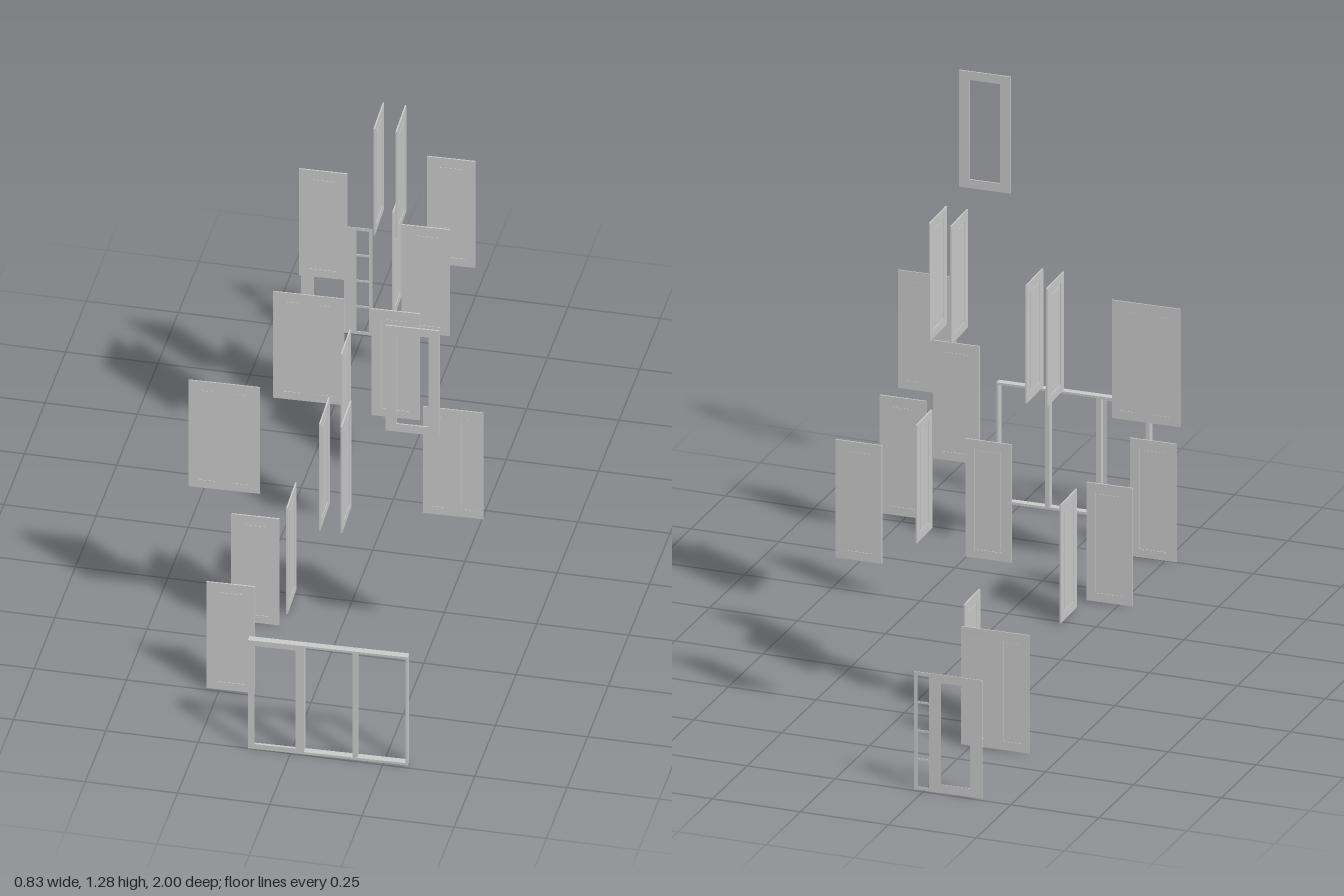
import * as THREE from 'three';

const TURN = 0.026;   // slight common turn of every piece
const H = 0.337;      // door height
const T = 0.004;      // door thickness
const material = new THREE.MeshStandardMaterial({ color: 0xcccccc, flatShading: true, side: THREE.DoubleSide });

function box(name, w, h, d, x, y, z = 0) {
  const mesh = new THREE.Mesh(new THREE.BoxGeometry(w, h, d), material);
  mesh.name = name;
  mesh.position.set(x, y, z);
  return mesh;
}

// Flat plate centred on the origin, with openings given as [x0, y0, x1, y1]
function plate(name, w, h, d, openings) {
  const rect = (s, x0, y0, x1, y1) =>
    s.moveTo(x0, y0).lineTo(x1, y0).lineTo(x1, y1).lineTo(x0, y1).closePath();
  const shape = new THREE.Shape();
  rect(shape, -w / 2, -h / 2, w / 2, h / 2);
  for (const o of openings) {
    const hole = new THREE.Path();
    rect(hole, ...o);
    shape.holes.push(hole);
  }
  const geometry = new THREE.ExtrudeGeometry(shape, { depth: d, bevelEnabled: false });
  geometry.translate(0, 0, -d / 2);
  const mesh = new THREE.Mesh(geometry, material);
  mesh.name = name;
  return mesh;
}

// Door leaf with grooved panels; spans are the [x0, x1] of each panel
function panelDoor(name, w, spans, t = T) {
  const group = new THREE.Group();
  group.name = name;
  const y = H / 2 - 0.024;
  group.add(plate('doorLeaf', w, H, t, spans.map(([a, b]) => [a, -y, b, y])));
  for (const [a, b] of spans) {
    const c = (a + b) / 2;
    group.add(box('panelBacking', b - a, 2 * y, t * 0.25, c, 0));
    group.add(box('panelField', b - a - 0.012, 2 * y - 0.012, t * 0.7, c, 0));
  }
  return group;
}

const single = (w = 0.13) => panelDoor('singleDoor', w, [[0.026 - w / 2, w / 2 - 0.026]]);
const double = (w, inset) => {
  const a = w / 2 - 0.024, b = a - inset;
  return panelDoor('doubleDoor', w, [[-a, -b], [b, a]], 0.003);
};

// Door frame with one tall opening
const openDoor = () => plate('openDoor', 0.146, 0.333, T, [[-0.043, -0.142, 0.043, 0.142]]);

// Open door with a narrow four-pane sidelight
function sidelightDoor() {
  const y = H / 2 - 0.024, openings = [[-0.062, -y, 0.02, y]];
  const step = (H - 0.012) / 4;
  for (let i = 0; i < 4; i++) {
    const y0 = -H / 2 + 0.006 + i * step;
    openings.push([0.053, y0 + 0.003, 0.087, y0 + step - 0.003]);
  }
  return plate('sidelightDoor', 0.192, H, 0.002, openings);
}

// Three-bay frame with a sash in one bay
function bayFrame() {
  const group = new THREE.Group();
  group.name = 'threeBayFrame';
  const w = 0.431, h = 0.343, d = 0.02;
  group.add(plate('outerFrame', w, h, d, [[-w / 2 + 0.006, -h / 2 + 0.007, w / 2 - 0.006, h / 2 - 0.006]]));
  for (const x of [-0.071, 0.073]) group.add(box('mullion', 0.013, h - 0.012, d * 0.9, x, 0));
  const sash = plate('sash', 0.149, h - 0.006, 0.004, [[-0.058, -0.156, 0.053, 0.155]]);
  sash.position.set(-0.14, 0, 0.008);
  group.add(sash);
  return group;
}

export function createModel() {
  const model = new THREE.Group();
  model.name = 'doorCollection';
  const low = 0.172, mid = 0.655, high = 1.113;
  const place = (part, x, y, z, sideways = false) => {
    part.position.set(x, y, z);
    part.rotation.y = TURN + (sideways ? Math.PI / 2 : 0);
    model.add(part);
  };

  // Single doors facing the front
  for (const [x, y, z] of [
    [-0.219, low, 0.743], [-0.226, low, 0.411],
    [0.081, mid, 0.083], [0.071, mid, -0.328], [0.065, mid, -0.662], [-0.252, mid, -0.53],
  ]) place(single(), x, y, z);

  // Single doors facing sideways
  for (const [x, y, z, w] of [
    [-0.155, low, 0.292, 0.124], [-0.175, low, -0.456, 0.12], [-0.031, mid, -0.436, 0.12],
    [0.001, mid, 0.592, 0.13], [0.06, mid, 0.592, 0.13],
    [-0.016, high, -0.145, 0.13], [0.044, high, -0.145, 0.13],
  ]) place(single(w), x, y, z, true);

  // Double doors
  place(double(0.192, 0.048), -0.286, mid, 0.521);
  place(double(0.192, 0.048), -0.32, low, -0.655);
  const narrow = double(0.163, 0.034);
  narrow.add(box('centreSeam', 0.002, H, 0.004, 0, 0));
  place(narrow, 0.332, mid, 0.511);

  // Open frames
  place(openDoor(), 0.293, 1.115, 0.828);
  place(sidelightDoor(), -0.32, low, -0.9965);
  place(bayFrame(), 0.1, 0.1715, 0.984);
  return model;
}
